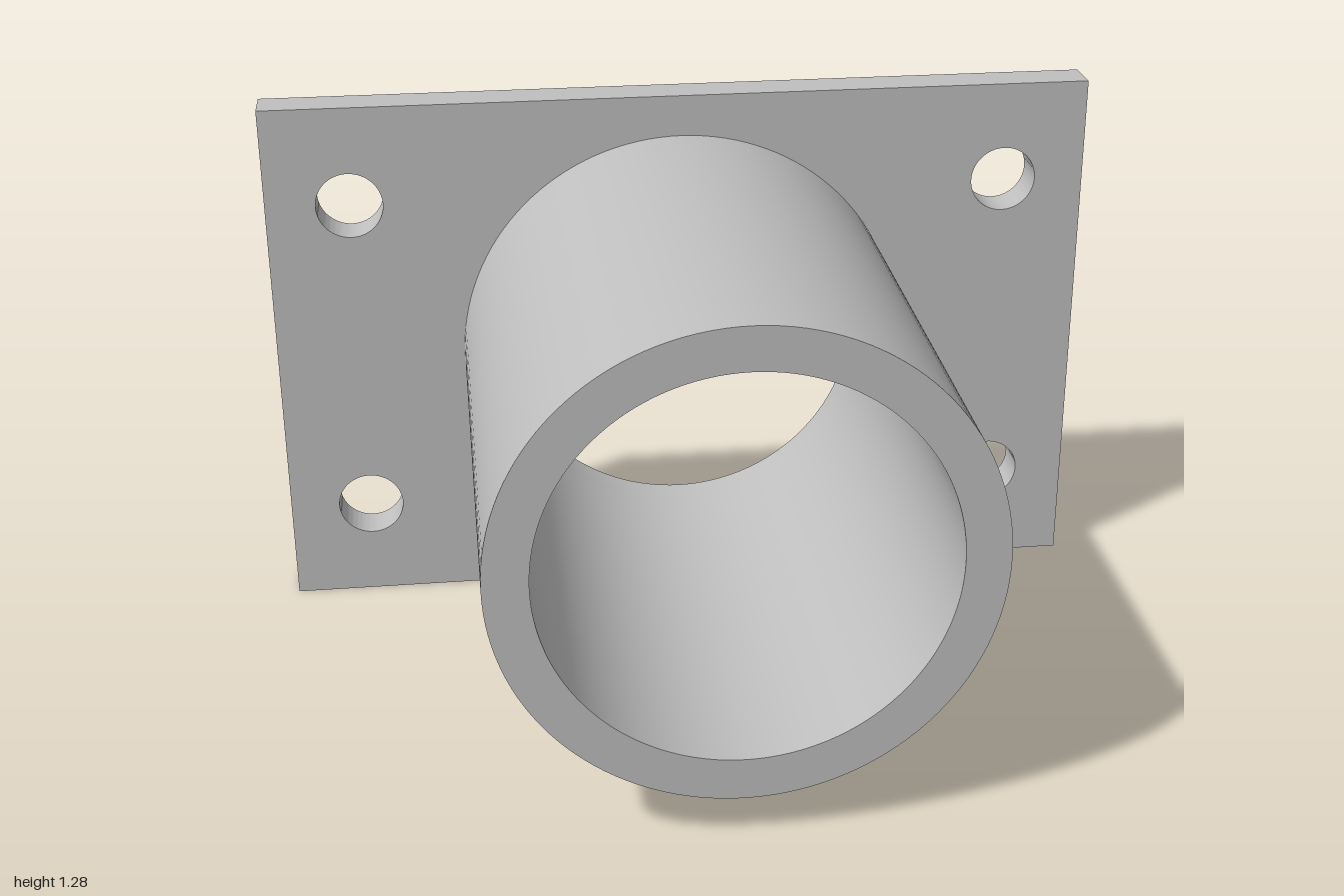
import * as THREE from 'three';
import { toCreasedNormals } from 'three/addons/utils/BufferGeometryUtils.js';

const WIDTH = 2, HEIGHT = 1.284, THICK = 0.1, DEPTH = 1.3;
const OUTER = 0.543, BORE = 0.446, BOLT = 0.08;
const BACK = -DEPTH / 2;

function circleHole(x, y, r) {
  const path = new THREE.Path();
  path.absarc(x, y, r, 0, Math.PI * 2, true);
  return path;
}

export function createModel() {
  const group = new THREE.Group();
  group.name = 'flangedSleeve';
  const steel = new THREE.MeshStandardMaterial({ color: 0xbfbfbf });
  steel.name = 'plain grey';

  // Rectangular flange with a central bore and four bolt holes
  const w = WIDTH / 2, h = HEIGHT / 2;
  const outline = new THREE.Shape([
    new THREE.Vector2(-w, -h), new THREE.Vector2(w, -h),
    new THREE.Vector2(w, h), new THREE.Vector2(-w, h),
  ]);
  outline.holes.push(circleHole(0, 0, BORE));
  for (const x of [-0.8, 0.8])
    for (const y of [-0.4, 0.4]) outline.holes.push(circleHole(x, y, BOLT));
  const plateGeometry = new THREE.ExtrudeGeometry(outline, {
    depth: THICK, bevelEnabled: false, curveSegments: 64,
  });
  const plate = new THREE.Mesh(toCreasedNormals(plateGeometry, 0.5), steel);
  plate.name = 'flangePlate';
  plate.position.set(0, h, BACK);

  // Hollow sleeve: outer wall, front rim and inner wall
  const profile = [
    [OUTER, BACK + THICK], [OUTER, -BACK], [BORE, -BACK], [BORE, BACK + THICK],
  ].map(([r, z]) => new THREE.Vector2(r, z));
  const tubeGeometry = new THREE.LatheGeometry(profile, 128).rotateX(Math.PI / 2);
  const tube = new THREE.Mesh(toCreasedNormals(tubeGeometry, 0.5), steel);
  tube.name = 'sleeveTube';
  tube.position.y = h;

  group.add(plate, tube);
  return group;
}
